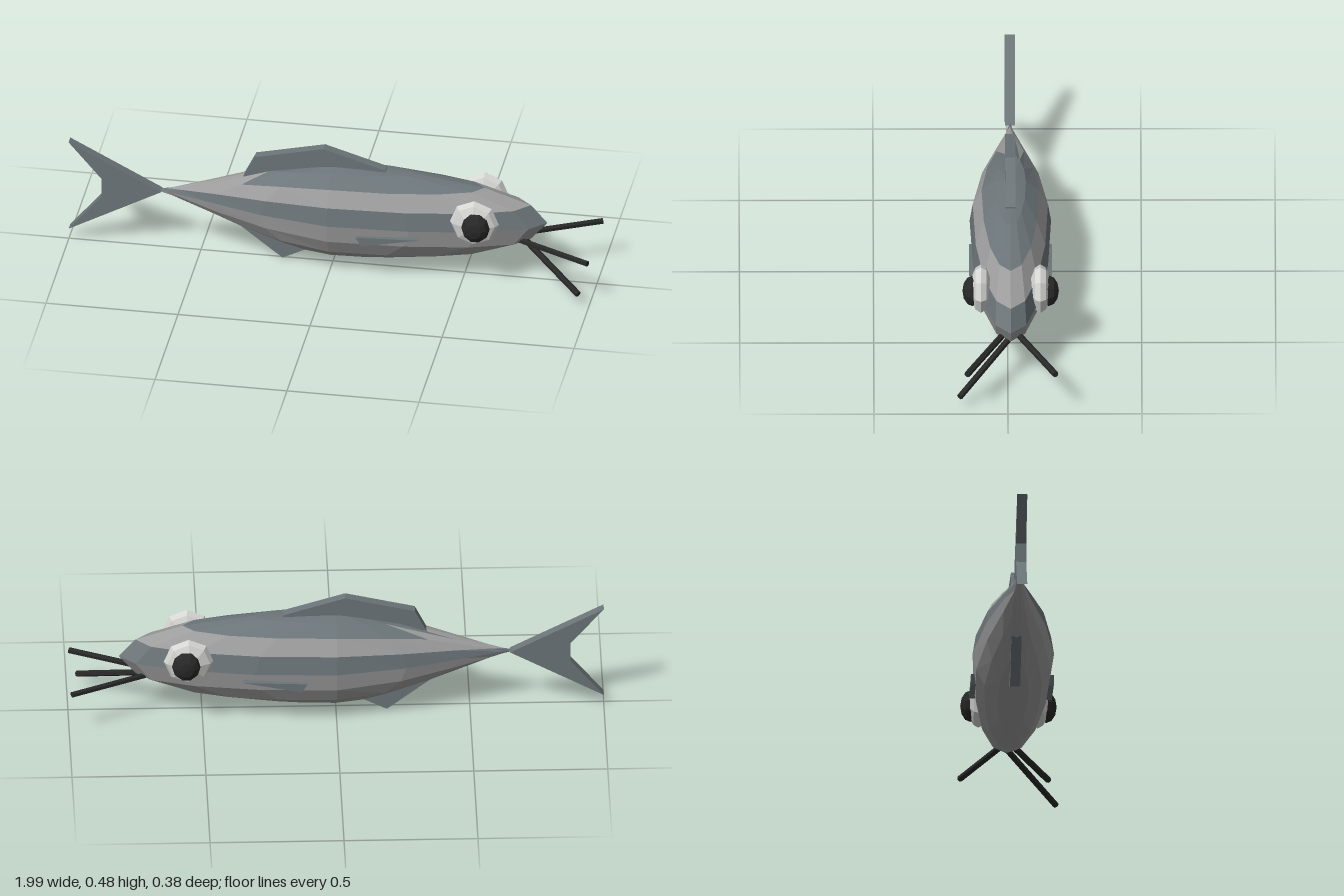
import * as THREE from 'three';

const MID = -0.011; // z of the fish's plane of symmetry

const mat = (name, color) => {
  const m = new THREE.MeshStandardMaterial({ color });
  m.name = name;
  return m;
};

// Give every facet its own normal
function flat(geometry) {
  const g = geometry.index ? geometry.toNonIndexed() : geometry;
  g.computeVertexNormals();
  return g;
}

export function createModel() {
  const fish = new THREE.Group();
  fish.name = 'fish';
  const skin = mat('grey skin', 0x9c9c9c);
  const dark = mat('slate back and fins', 0x6c7579);
  const white = mat('eye white', 0xd4d4d2);
  const black = mat('black', 0x282828);

  const add = (name, geometry, material) => {
    const mesh = new THREE.Mesh(geometry, material);
    mesh.name = name;
    fish.add(mesh);
    return mesh;
  };

  // Body: faceted ellipsoid, pinched towards the tail
  const shape = (x, y, z) => {
    const pinch = x < 0 ? 1 - 0.96 * Math.pow(-x, 1.55) : 1;
    return [x * (x < 0 ? 0.68 : 0.81), 0.225 + y * 0.187 * pinch + 0.01 * Math.abs(x) ** 2, MID + z * 0.152 * pinch];
  };
  const ball = new THREE.SphereGeometry(1, 16, 8).toNonIndexed().attributes.position;
  const sides = { skin: [], dark: [] };
  for (let i = 0; i < ball.count; i += 3) {
    const corners = [0, 1, 2].map((k) => new THREE.Vector3().fromBufferAttribute(ball, i + k));
    const x = (corners[0].x + corners[1].x + corners[2].x) / 3;
    const y = (corners[0].y + corners[1].y + corners[2].y) / 3;
    // Dark saddle on the back and dark stripe along the flank
    const isDark = (y > 0.707 && x > -0.45) || (y > 0 && y < 0.383);
    for (const c of corners) sides[isDark ? 'dark' : 'skin'].push(...shape(c.x, c.y, c.z));
  }
  const shell = (points) =>
    flat(new THREE.BufferGeometry().setAttribute('position', new THREE.Float32BufferAttribute(points, 3)));
  add('body', shell(sides.skin), skin);
  add('backAndStripe', shell(sides.dark), dark);

  // Fins: flat plates cut from an outline in the x-y plane
  const fin = (name, outline, depth, z) => {
    const s = new THREE.Shape(outline.map(([x, y]) => new THREE.Vector2(x, y)));
    const g = new THREE.ExtrudeGeometry(s, { depth, bevelEnabled: false });
    g.translate(0, 0, z - depth / 2);
    add(name, flat(g), dark);
  };
  fin('dorsalFin', [[-0.34, 0.33], [-0.295, 0.42], [-0.035, 0.48], [0.2, 0.41], [0.2, 0.36], [-0.25, 0.3]], 0.038, MID);
  fin('pelvicFin', [[-0.36, 0.13], [-0.19, 0], [-0.09, 0.05], [-0.12, 0.14]], 0.038, MID);
  fin('tailFin', [[-0.65, 0.235], [-1, 0.415], [-0.875, 0.27], [-0.875, 0.195], [-1, 0.045]], 0.038, MID);

  for (const s of [1, -1]) {
    const label = s > 0 ? 'front' : 'back';
    fin(label + 'PectoralFin', [[0.11, 0.19], [0.35, 0.2], [0.13, 0.155]], 0.05, MID + s * 0.13);

    // Eyes: flattened faceted balls with bulging pupils
    const eye = add(label + 'Eye', flat(new THREE.SphereGeometry(1, 8, 6).rotateX(Math.PI / 2).scale(0.093, 0.093, 0.04)), white);
    eye.position.set(0.553, 0.272, MID + s * 0.111);
    const pupil = add(label + 'Pupil', flat(new THREE.SphereGeometry(1, 10, 6).rotateX(Math.PI / 2).scale(0.054, 0.06, 0.038)), black);
    pupil.position.set(0.562, 0.268, MID + s * 0.142);
  }

  // Whiskers: thin six-sided rods from the mouth
  const whisker = (from, to) => {
    const a = new THREE.Vector3(...from), b = new THREE.Vector3(...to);
    const rod = add('whisker', flat(new THREE.CylinderGeometry(0.012, 0.012, a.distanceTo(b), 6)), black);
    rod.position.copy(a).add(b).divideScalar(2);
    rod.quaternion.setFromUnitVectors(new THREE.Vector3(0, 1, 0), b.sub(a).normalize());
  };
  whisker([0.715, 0.168, 0.02], [0.99, 0.168, 0.152]);
  whisker([0.715, 0.168, -0.042], [0.99, 0.168, -0.178]);
  whisker([0.71, 0.168, -0.018], [0.96, 0.05, 0.18]);

  return fish;
}
